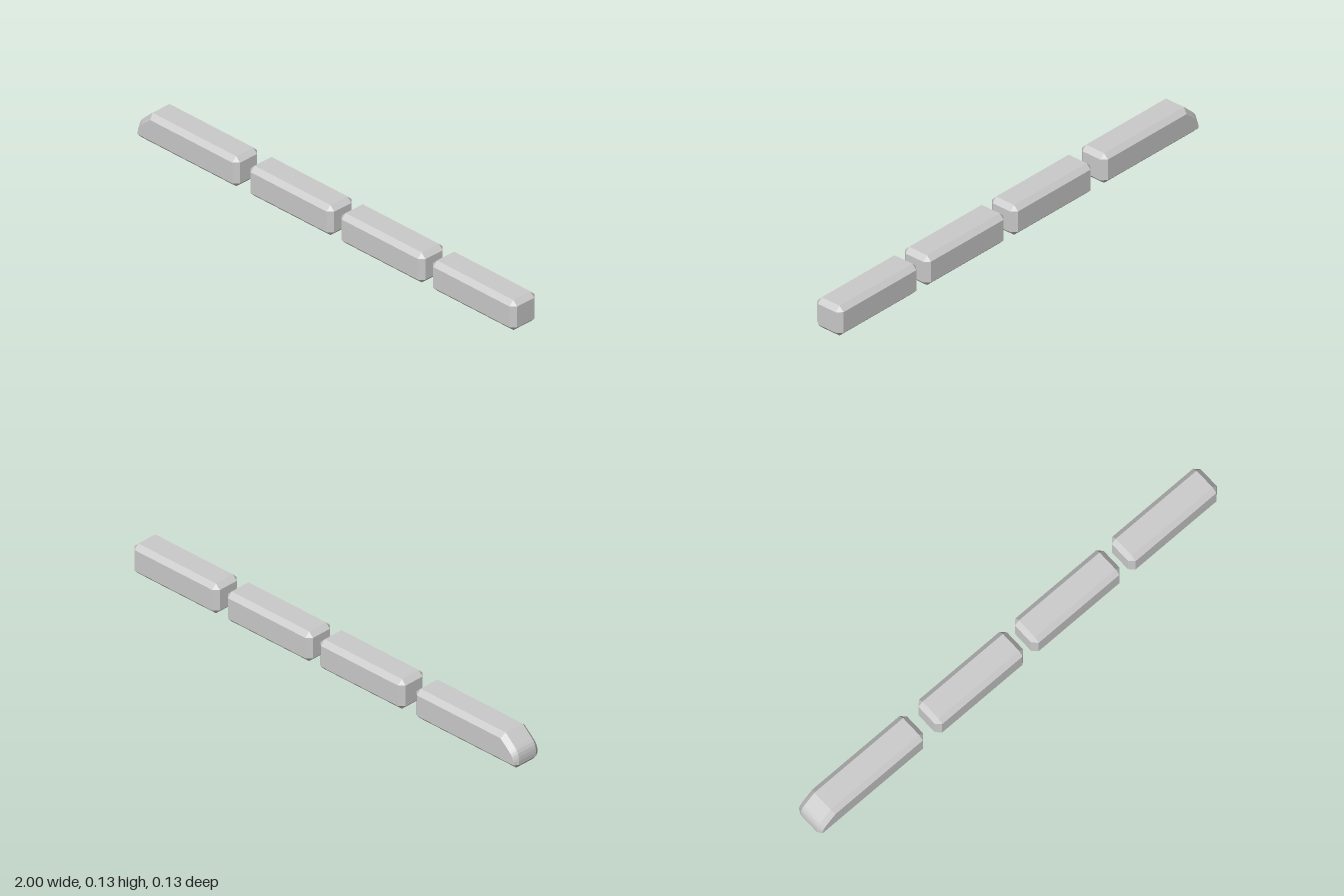
import * as THREE from 'three';
import { ConvexGeometry } from 'three/addons/geometries/ConvexGeometry.js';

const HEIGHT = 0.13, HALF = 0.065, CHAMFER = 0.02;
const material = new THREE.MeshStandardMaterial({ color: 0xcccccc, flatShading: true });

// Hull of a side outline: the full outline on the inner planes, the inset one on the side faces
function hull(name, outer, inset) {
  const points = [];
  for (const side of [-1, 1]) {
    for (const [x, y] of outer) points.push(new THREE.Vector3(x, y, side * (HALF - CHAMFER)));
    for (const [x, y] of inset) points.push(new THREE.Vector3(x, y, side * HALF));
  }
  const mesh = new THREE.Mesh(new ConvexGeometry(points), material);
  mesh.name = name;
  return mesh;
}

// One squared end of a car; dir points outward along x
function squareEnd(x, dir) {
  const i = x - dir * CHAMFER;
  return {
    outer: [[i, 0], [x, CHAMFER], [x, HEIGHT - CHAMFER], [i, HEIGHT]],
    inset: [[i, CHAMFER], [i, HEIGHT - CHAMFER]],
  };
}

export function createModel() {
  const train = new THREE.Group();
  train.name = 'train';

  // Leading car: sloped windscreen easing into a rounded nose
  const back = squareEnd(-0.467, 1);
  const nose = [[-0.93, 0.13], [-0.978, 0.086], [-0.987, 0.076], [-0.994, 0.064],
    [-0.998, 0.05], [-1, 0.035], [-1, 0.018], [-0.985, 0]];
  const noseInset = [[-0.922, 0.11], [-0.966, 0.072], [-0.975, 0.063], [-0.982, 0.053],
    [-0.986, 0.042], [-0.988, 0.032], [-0.988, 0.02]];
  train.add(hull('leadingCar', [...nose, ...back.outer], [...noseInset, ...back.inset]));

  // Three plain cars, chamfered on every edge
  [[-0.41, 0.032], [0.072, 0.515], [0.556, 1]].forEach(([x0, x1], i) => {
    const a = squareEnd(x0, -1), b = squareEnd(x1, 1);
    train.add(hull(`car${i + 1}`, [...a.outer, ...b.outer], [...a.inset, ...b.inset]));
  });

  return train;
}
